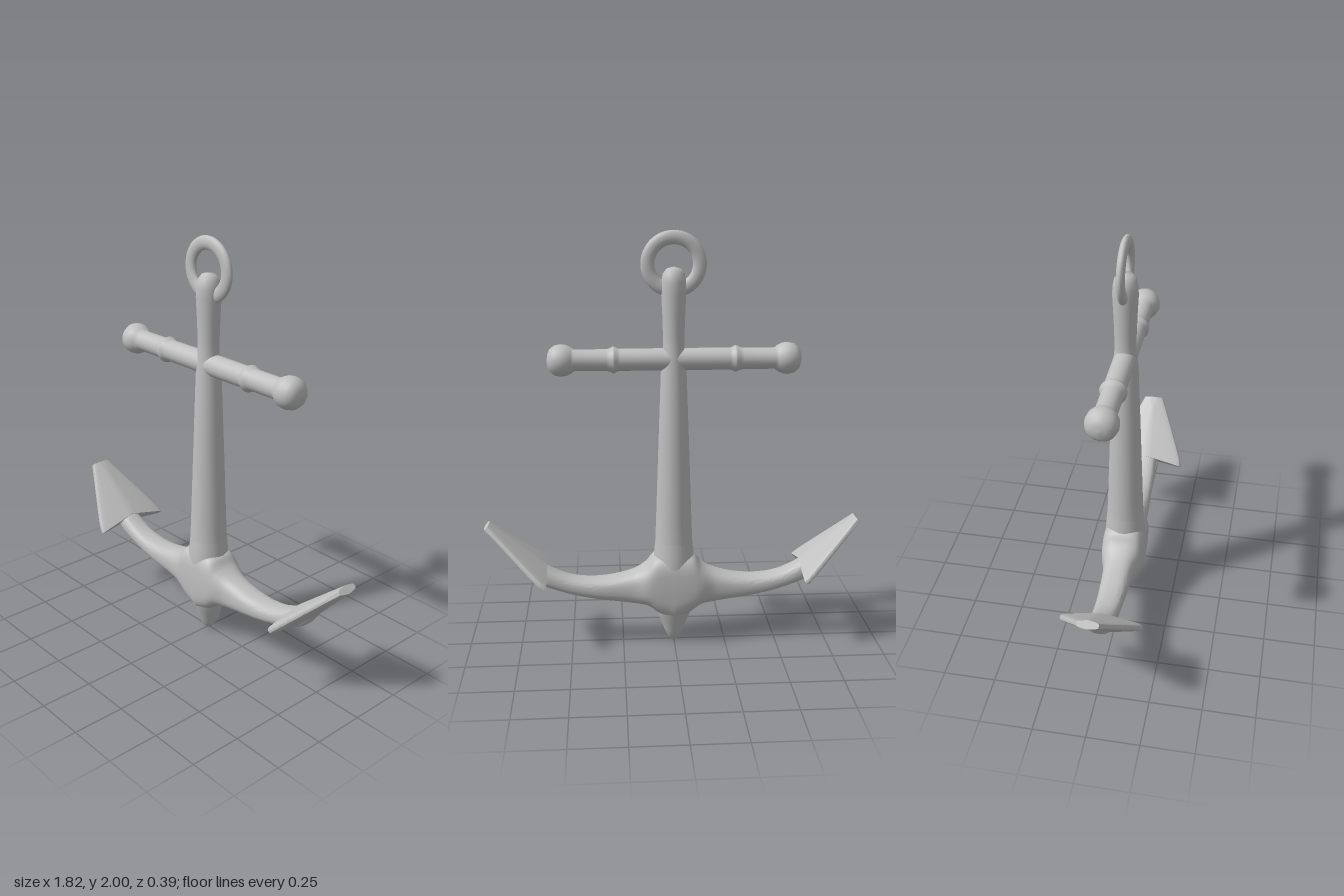
import * as THREE from 'three';
import { toCreasedNormals } from 'three/addons/utils/BufferGeometryUtils.js';

const iron = new THREE.MeshStandardMaterial({ color: 0xc0c0c0 });
iron.name = 'iron grey';

function part(name, geometry, parent) {
  const mesh = new THREE.Mesh(geometry, iron);
  mesh.name = name;
  parent.add(mesh);
  return mesh;
}

// Smooth lathe through [radius, height] points
function turned(points, segments = 32) {
  return new THREE.LatheGeometry(points.map(([r, y]) => new THREE.Vector2(r, y)), segments);
}

const soften = (v, power) => Math.sign(v) * Math.abs(v) ** power;

// Closed loft: pointAt(s, t) gives [x, y, z] at s = 0..1 along and angle t around
function loft(steps, sides, pointAt) {
  const positions = [], index = [];
  for (let i = 0; i <= steps; i++) {
    for (let j = 0; j < sides; j++) {
      positions.push(...pointAt(i / steps, j / sides * Math.PI * 2));
      if (i < steps) {
        const p = i * sides + j, q = i * sides + (j + 1) % sides;
        index.push(p, q, p + sides, q, q + sides, p + sides);
      }
    }
  }
  const last = steps * sides;
  for (let j = 1; j < sides - 1; j++) index.push(last, last + j, last + j + 1, 0, j + 1, j);
  const g = new THREE.BufferGeometry();
  g.setAttribute('position', new THREE.Float32BufferAttribute(positions, 3));
  g.setIndex(index);
  return toCreasedNormals(g, 0.9);
}

// Arm between an upper and a lower edge; each point is [x, y, half depth]
function armGeometry() {
  const curve = pts => new THREE.CatmullRomCurve3(pts.map(p => new THREE.Vector3(...p)), false, 'centripetal');
  const upper = curve([[0, 0.46, 0.104], [0.09, 0.45, 0.103], [0.135, 0.403, 0.098], [0.2, 0.367, 0.077],
    [0.36, 0.335, 0.065], [0.5, 0.347, 0.06], [0.62, 0.402, 0.055], [0.72, 0.478, 0.03]]);
  const lower = curve([[0, 0.13, 0.104], [0.075, 0.157, 0.103], [0.125, 0.192, 0.098], [0.2, 0.206, 0.077],
    [0.4, 0.236, 0.065], [0.54, 0.272, 0.06], [0.67, 0.328, 0.055], [0.755, 0.435, 0.03]]);
  return loft(48, 32, (s, t) => {
    const a = upper.getPoint(s), b = lower.getPoint(s);
    const power = 0.5 + 0.25 * Math.min(1, s * 3);
    const k = soften(Math.cos(t), power) / 2;
    return [(a.x + b.x) / 2 + (a.x - b.x) * k, (a.y + b.y) / 2 + (a.y - b.y) * k, soften(Math.sin(t), power) * a.z];
  });
}

// Arrow-shaped fluke, thickest along its middle, notched where the arm enters
function flukeGeometry() {
  const length = 0.38;
  const g = loft(24, 40, (s, t) => {
    const width = THREE.MathUtils.lerp(0.208, 0.05, s) * (1 - 0.06 * (1 - s) ** 12);
    const side = Math.sin(t), middle = 1 - Math.abs(side);
    const edge = THREE.MathUtils.lerp(0.018, 0.014, s), ridge = THREE.MathUtils.lerp(0.026, 0.006, s);
    const thickness = soften(Math.cos(t), 0.35) * edge + Math.sign(Math.cos(t)) * ridge * middle;
    return [s * length + 0.035 * middle * (1 - s), thickness, side * width];
  });
  return g.rotateZ(0.758).translate(0.622, 0.353, 0);
}

export function createModel() {
  const anchor = new THREE.Group();
  anchor.name = 'anchor';

  // Ring through the head of the shank
  const ring = part('ring', new THREE.TorusGeometry(0.12, 0.032, 16, 48), anchor);
  ring.position.y = 1.848;
  ring.scale.z = 0.6;

  // Tapered shank with rounded head
  part('shank', turned([[0.1, 0.4], [0.096, 0.45], [0.09, 0.52], [0.086, 0.62], [0.073, 1.0], [0.06, 1.36],
    [0.05, 1.45], [0.05, 1.52], [0.053, 1.62], [0.058, 1.72], [0.057, 1.77], [0.05, 1.805], [0.032, 1.828],
    [0, 1.836]]), anchor);

  // Crown: the hub with its rounded foot
  part('crown', turned([[0, 0], [0.018, 0.006], [0.034, 0.025], [0.049, 0.06], [0.065, 0.105], [0.083, 0.15],
    [0.096, 0.2], [0.102, 0.26], [0.102, 0.35], [0.1, 0.4], [0.097, 0.45], [0.09, 0.52]]), anchor);

  // Cross stock: two turned halves with a collar and a ball end
  const stock = new THREE.Group();
  stock.name = 'stock';
  stock.position.set(-0.005, 1.41, 0);
  anchor.add(stock);
  const bar = turned([[0.052, 0], [0.051, 0.255], [0.054, 0.268], [0.062, 0.28], [0.062, 0.288], [0.054, 0.302],
    [0.05, 0.32], [0.05, 0.468], [0.062, 0.482], [0.072, 0.505], [0.075, 0.53], [0.069, 0.558], [0.052, 0.58],
    [0.028, 0.59], [0, 0.593]]);
  for (const side of [1, -1]) {
    part(side > 0 ? 'leftStock' : 'rightStock', bar, stock).rotation.z = -side * Math.PI / 2;
  }

  // Curved arms with flukes; the right pair is the left turned half round
  const arm = armGeometry(), fluke = flukeGeometry();
  for (const [name, turn] of [['left', 0], ['right', Math.PI]]) {
    const side = new THREE.Group();
    side.name = name + 'Side';
    side.rotation.y = turn;
    part(name + 'Arm', arm, side);
    part(name + 'Fluke', fluke, side);
    anchor.add(side);
  }
  return anchor;
}
